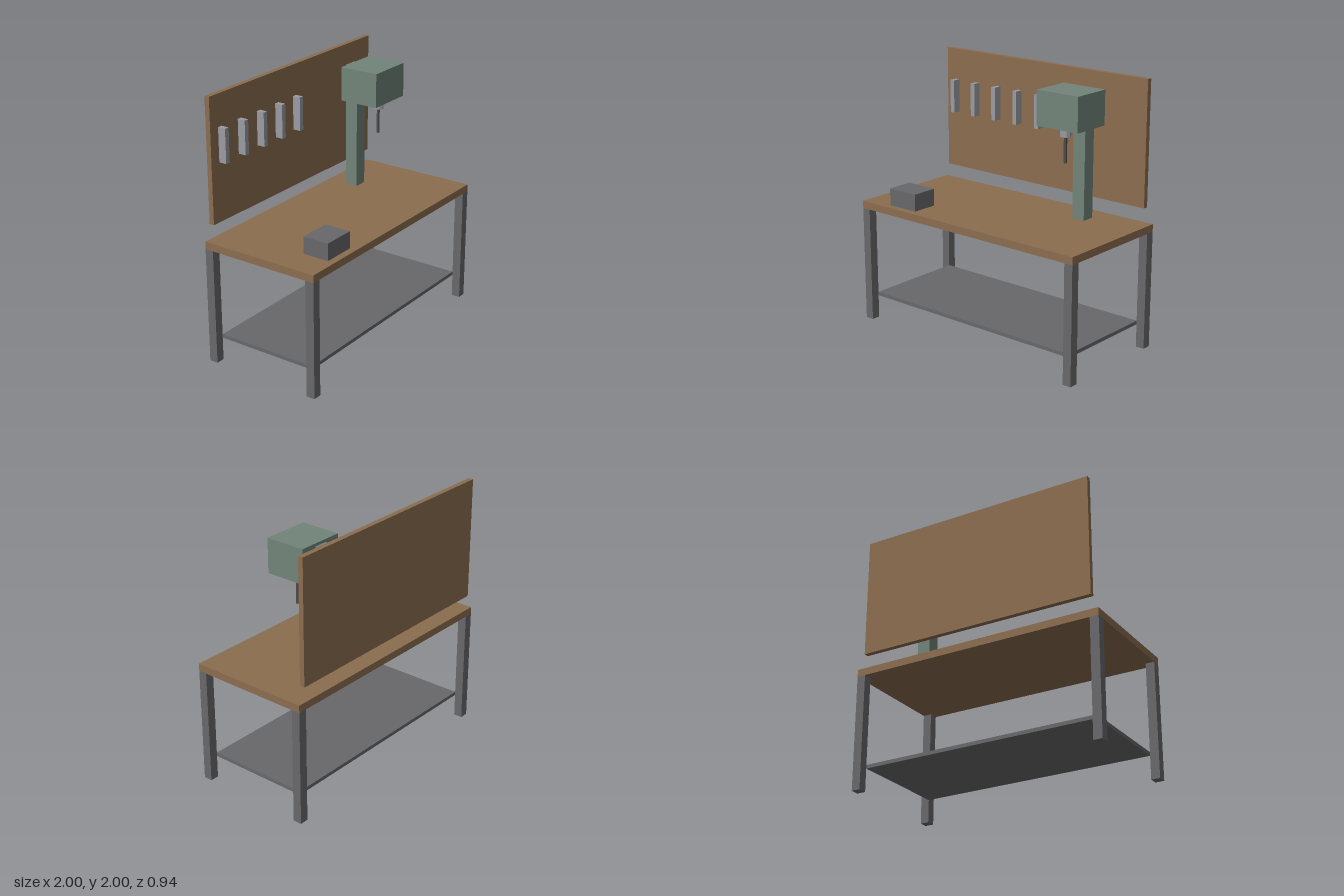
import * as THREE from 'three';

const material = (name, color) => {
  const m = new THREE.MeshStandardMaterial({ color });
  m.name = name;
  return m;
};

export function createModel() {
  const wood = material('wood', 0x8b6d4f);
  const steel = material('dark steel', 0x68686b);
  const green = material('machine green', 0x71847a);
  const silver = material('tool silver', 0x9a9ca2);
  const drillSteel = material('drill steel', 0x4c4c4e);

  const model = new THREE.Group();
  model.name = 'workbench';

  // Box given by its min and max along each axis
  const box = (name, mat, [x0, x1], [y0, y1], [z0, z1], parent = model) => {
    const mesh = new THREE.Mesh(new THREE.BoxGeometry(x1 - x0, y1 - y0, z1 - z0), mat);
    mesh.position.set((x0 + x1) / 2, (y0 + y1) / 2, (z0 + z1) / 2);
    mesh.name = name;
    parent.add(mesh);
  };

  // Bench: top, shelf and four legs
  box('benchTop', wood, [-1, 1], [0.888, 0.945], [-0.472, 0.472]);
  box('lowerShelf', steel, [-0.932, 0.932], [0.177, 0.205], [-0.404, 0.404]);
  for (const sx of [-1, 1]) for (const sz of [-1, 1]) {
    const x = sx * 0.966, z = sz * 0.438;
    box('leg', steel, [x - 0.034, x + 0.034], [0, 0.888], [z - 0.034, z + 0.034]);
  }

  // Back board with a row of hanging tools
  box('toolBoard', wood, [-0.945, 0.945], [1.06, 2], [-0.472, -0.433]);
  for (let i = 0; i < 5; i++) {
    const x = -0.844 + i * 0.21;
    box('hangingTool', silver, [x - 0.019, x + 0.019], [1.505, 1.762], [-0.433, -0.371]);
  }

  // Block on the bench
  box('viseBlock', steel, [-0.761, -0.505], [0.945, 1.075], [0.212, 0.418]);

  // Drill press
  const drill = new THREE.Group();
  drill.name = 'drillPress';
  model.add(drill);
  box('column', green, [0.473, 0.577], [0.945, 1.9], [-0.312, -0.21], drill);
  box('head', green, [0.343, 0.707], [1.664, 1.922], [-0.26, 0.052], drill);
  const spindle = (name, mat, radius, y0, y1, sides) => {
    const geo = new THREE.CylinderGeometry(radius, radius, y1 - y0, sides).toNonIndexed();
    geo.computeVertexNormals();
    const mesh = new THREE.Mesh(geo, mat);
    mesh.position.set(0.525, (y0 + y1) / 2, -0.05);
    mesh.name = name;
    drill.add(mesh);
  };
  spindle('chuck', silver, 0.04, 1.595, 1.664, 8);
  spindle('drillBit', drillSteel, 0.0125, 1.403, 1.595, 6);

  return model;
}
